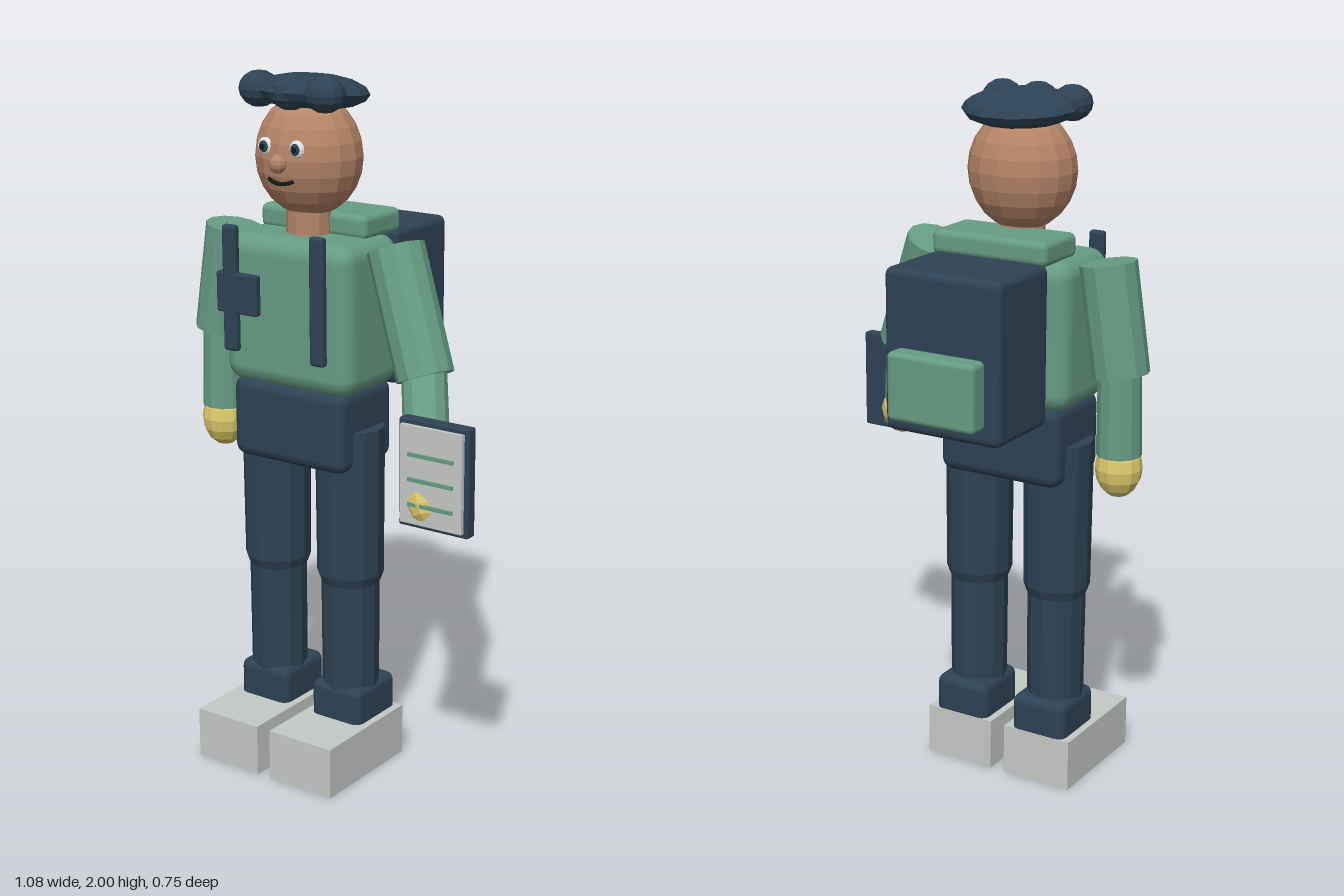
import * as THREE from 'three';
import { RoundedBoxGeometry } from 'three/addons/geometries/RoundedBoxGeometry.js';

const CX = -0.143; // body centre line
const CZ = 0.1;

export function createModel() {
  const root = new THREE.Group();
  root.name = 'courier';

  const mat = (name, color) => {
    const m = new THREE.MeshStandardMaterial({ color });
    m.name = name;
    return m;
  };
  const navy = mat('navy', 0x2d4354);
  const green = mat('green', 0x669c84);
  const skin = mat('skin', 0xb58467);
  const yellow = mat('glove yellow', 0xdcc96c);
  const grey = mat('light grey', 0xc5c9c5);
  const white = mat('eye white', 0xe8ebe8);
  const black = mat('black', 0x14181d);

  const add = (name, geo, material, x = 0, y = 0, z = 0, parent = root) => {
    const m = new THREE.Mesh(geo, material);
    m.name = name;
    m.position.set(x, y, z);
    parent.add(m);
    return m;
  };
  // Faceted look: every face keeps its own normal
  const facet = (geo) => {
    const g = geo.toNonIndexed();
    g.computeVertexNormals();
    return g;
  };
  const rbox = (w, h, d, r) => new RoundedBoxGeometry(w, h, d, 2, r);
  const ball = (rx, ry, rz, w = 12, h = 8) =>
    facet(new THREE.SphereGeometry(1, w, h).scale(rx, ry, rz));
  const up = new THREE.Vector3(0, 1, 0);
  // Tapered limb from point a (top) to point b (bottom)
  const limb = (name, a, b, ra, rb, material, sides = 12) => {
    const A = new THREE.Vector3(...a), B = new THREE.Vector3(...b);
    const d = A.clone().sub(B);
    const m = add(name, facet(new THREE.CylinderGeometry(ra, rb, d.length(), sides)), material);
    m.position.copy(A).add(B).multiplyScalar(0.5);
    m.quaternion.setFromUnitVectors(up, d.normalize());
    return m;
  };

  // Torso, collar and hips
  add('torso', rbox(0.432, 0.43, 0.275, 0.055), green, CX, 1.345, CZ);
  add('collar', rbox(0.36, 0.07, 0.18, 0.02), green, CX, 1.585, 0.008);
  add('hips', rbox(0.385, 0.235, 0.255, 0.035), navy, CX, 1.028, CZ);
  limb('neck', [CX, 1.67, 0.105], [CX, 1.54, 0.105], 0.063, 0.066, skin);

  // Head and face
  add('head', ball(0.156, 0.168, 0.139, 16, 12), skin, CX, 1.773, 0.104);
  add('nose', ball(0.025, 0.026, 0.025, 10, 8), skin, CX, 1.766, 0.244);
  for (const s of [-1, 1]) {
    const x = CX + s * 0.053;
    add('eye', ball(0.024, 0.024, 0.012), white, x, 1.808, 0.229);
    add('iris', ball(0.015, 0.016, 0.006), navy, x, 1.808, 0.238);
    add('pupil', ball(0.008, 0.008, 0.004), black, x, 1.808, 0.243);
  }
  const smile = new THREE.QuadraticBezierCurve3(
    new THREE.Vector3(-0.042, 0.007, -0.006),
    new THREE.Vector3(0, -0.013, 0.008),
    new THREE.Vector3(0.042, 0.007, -0.006));
  add('mouth', new THREE.TubeGeometry(smile, 10, 0.006, 6), black, CX, 1.714, 0.235);

  // Cap crown with three puffs along the front
  const crown = add('capCrown', ball(0.166, 0.05, 0.152, 14, 8), navy, CX, 1.943, 0.092);
  crown.rotation.x = -0.08;
  for (const i of [-1, 0, 1]) {
    add('capPuff', ball(0.057, 0.05, 0.057), navy, CX + i * 0.11, 1.952, 0.185 - Math.abs(i) * 0.006);
  }

  // Legs and shoes
  for (const s of [-1, 1]) {
    const x = CX + s * 0.13;
    const thigh = [[0, 0.562], [0.086, 0.562], [0.096, 0.59], [0.099, 1.025], [0, 1.025]]
      .map((p) => new THREE.Vector2(...p));
    add('thigh', facet(new THREE.LatheGeometry(thigh, 12)), navy, x, 0, CZ);
    limb('shin', [x, 0.58, CZ], [x, 0.12, CZ], 0.084, 0.082, navy);
    add('ankle', rbox(0.172, 0.155, 0.192, 0.025), navy, x, 0.178, 0.088);
    add('shoe', new THREE.BoxGeometry(0.215, 0.15, 0.362), grey, x, 0.075, 0.171);
  }

  // Right arm hangs down
  limb('rightUpperArm', [-0.417, 1.547, 0.097], [-0.464, 1.24, 0.098], 0.08, 0.08, green);
  limb('rightForearm', [-0.46, 1.27, 0.098], [-0.463, 1.01, 0.1], 0.06, 0.064, green);
  add('rightHand', ball(0.067, 0.085, 0.066), yellow, -0.463, 0.972, 0.1);

  // Left arm reaches forward to the clipboard
  limb('leftUpperArm', [0.137, 1.547, 0.096], [0.272, 1.22, 0.15], 0.08, 0.08, green);
  limb('leftForearm', [0.26, 1.25, 0.14], [0.367, 1.0, 0.28], 0.062, 0.062, green);
  const hand = add('leftHand', ball(0.067, 0.082, 0.067), yellow, 0.389, 0.95, 0.304);
  hand.quaternion.setFromUnitVectors(up, new THREE.Vector3(-0.107, 0.25, -0.14).normalize());

  // Clipboard with a ruled sheet
  const clip = new THREE.Group();
  clip.name = 'clipboard';
  clip.position.set(0.43, 1.022, 0.333);
  root.add(clip);
  add('board', rbox(0.215, 0.296, 0.036, 0.006), navy, 0, 0, 0, clip);
  add('paper', new THREE.BoxGeometry(0.19, 0.268, 0.016), grey, 0, 0, 0.022, clip);
  for (const i of [-1, 0, 1]) {
    add('ruledLine', new THREE.BoxGeometry(0.138, 0.01, 0.006), green, 0.002, -0.01 + i * 0.068, 0.036, clip);
  }

  // Backpack, rear pocket, front straps and chest radio
  add('backpack', rbox(0.36, 0.45, 0.262, 0.022), navy, CX, 1.335, -0.185);
  add('backpackPocket', rbox(0.272, 0.19, 0.07, 0.015), green, CX, 1.252, -0.337);
  for (const s of [-1, 1]) {
    add('strap', rbox(0.047, 0.355, 0.025, 0.009), navy, CX + s * 0.148, 1.412, 0.27);
  }
  add('chestRadio', rbox(0.138, 0.114, 0.025, 0.006), navy, -0.267, 1.4, 0.269);

  return root;
}
